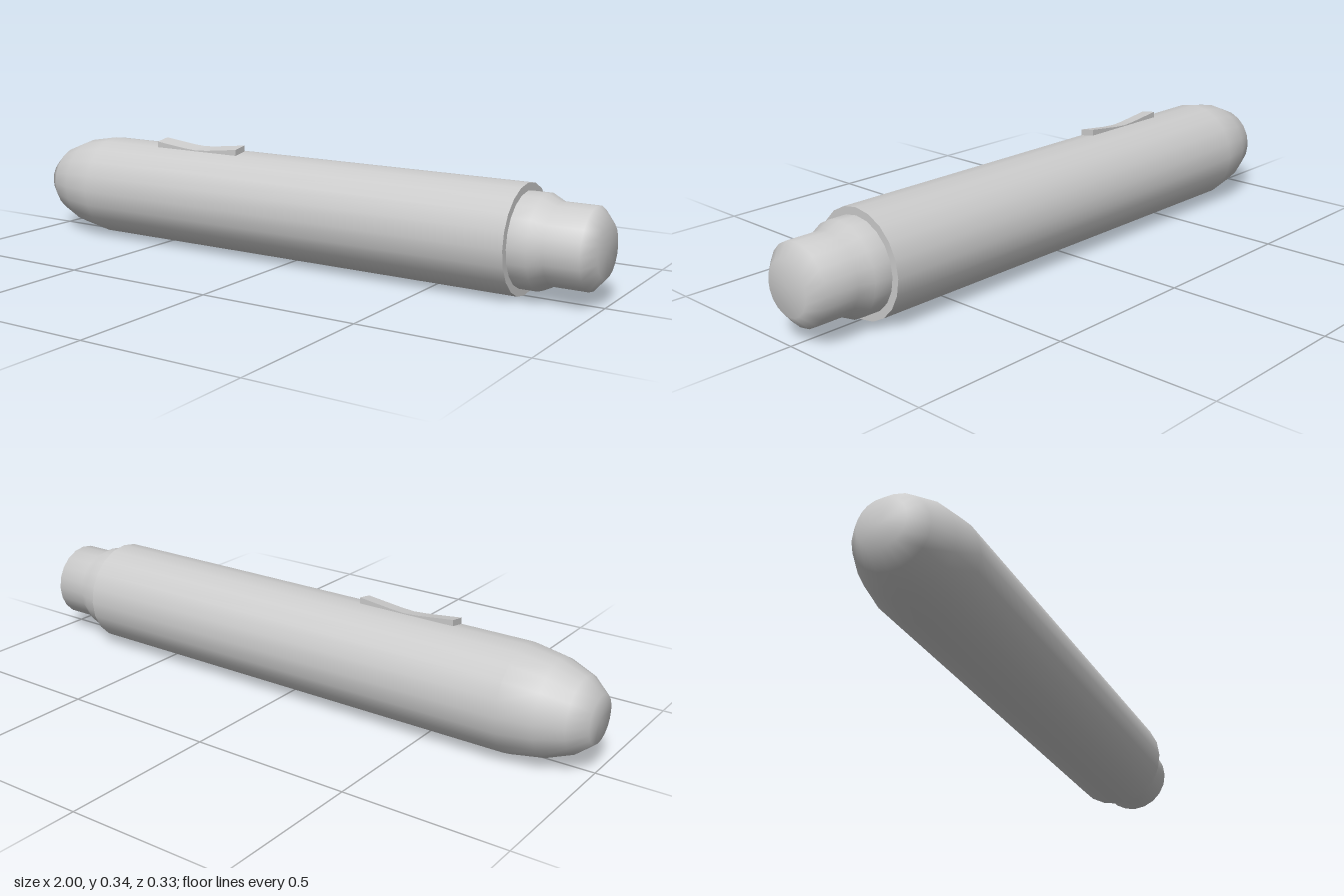
import * as THREE from 'three';

const AXIS_Y = 0.165; // height of the barrel's centre line
const SIDES = 20;

export function createModel() {
  const group = new THREE.Group();
  const material = new THREE.MeshStandardMaterial({ color: 0xcccccc });

  function add(name, geometry) {
    const mesh = new THREE.Mesh(geometry, material);
    mesh.name = name;
    group.add(mesh);
    return mesh;
  }

  // Turned part along x, from [x, radius] pairs
  function turned(name, profile) {
    const points = profile.map(([x, r]) => new THREE.Vector2(r, x));
    const geometry = new THREE.LatheGeometry(points, SIDES);
    geometry.rotateZ(-Math.PI / 2);
    add(name, geometry).position.y = AXIS_Y;
  }

  // Long barrel with rounded nose
  turned('barrel', [
    [-1, 0], [-1, 0.072], [-0.95, 0.113], [-0.87, 0.145], [-0.765, 0.163], [0.763, 0.163],
  ]);

  // Flat ring closing the barrel, kept apart for a sharp rim
  turned('barrelRim', [[0.763, 0.163], [0.763, 0.14]]);

  // Stepped end plug
  turned('endPlug', [
    [0.763, 0.14], [0.82, 0.14], [0.86, 0.12], [0.965, 0.12], [1, 0.08], [1, 0],
  ]);

  // Rocker switch: ends raised, middle nearly flush with the barrel
  const profile = new THREE.Shape([
    [-0.535, -0.002], [-0.215, -0.002], [-0.215, 0.019],
    [-0.33, 0.006], [-0.375, 0.003], [-0.42, 0.006], [-0.535, 0.019],
  ].map(([x, y]) => new THREE.Vector2(x, y)));
  const rocker = new THREE.ExtrudeGeometry(profile, { depth: 0.05, bevelEnabled: false });

  // Slope it to follow the barrel facet it sits on
  const pos = rocker.attributes.position;
  for (let i = 0; i < pos.count; i++) {
    pos.setY(i, pos.getY(i) + AXIS_Y + 0.163 - 0.158 * pos.getZ(i));
  }
  rocker.computeVertexNormals();
  add('rockerSwitch', rocker);

  return group;
}
